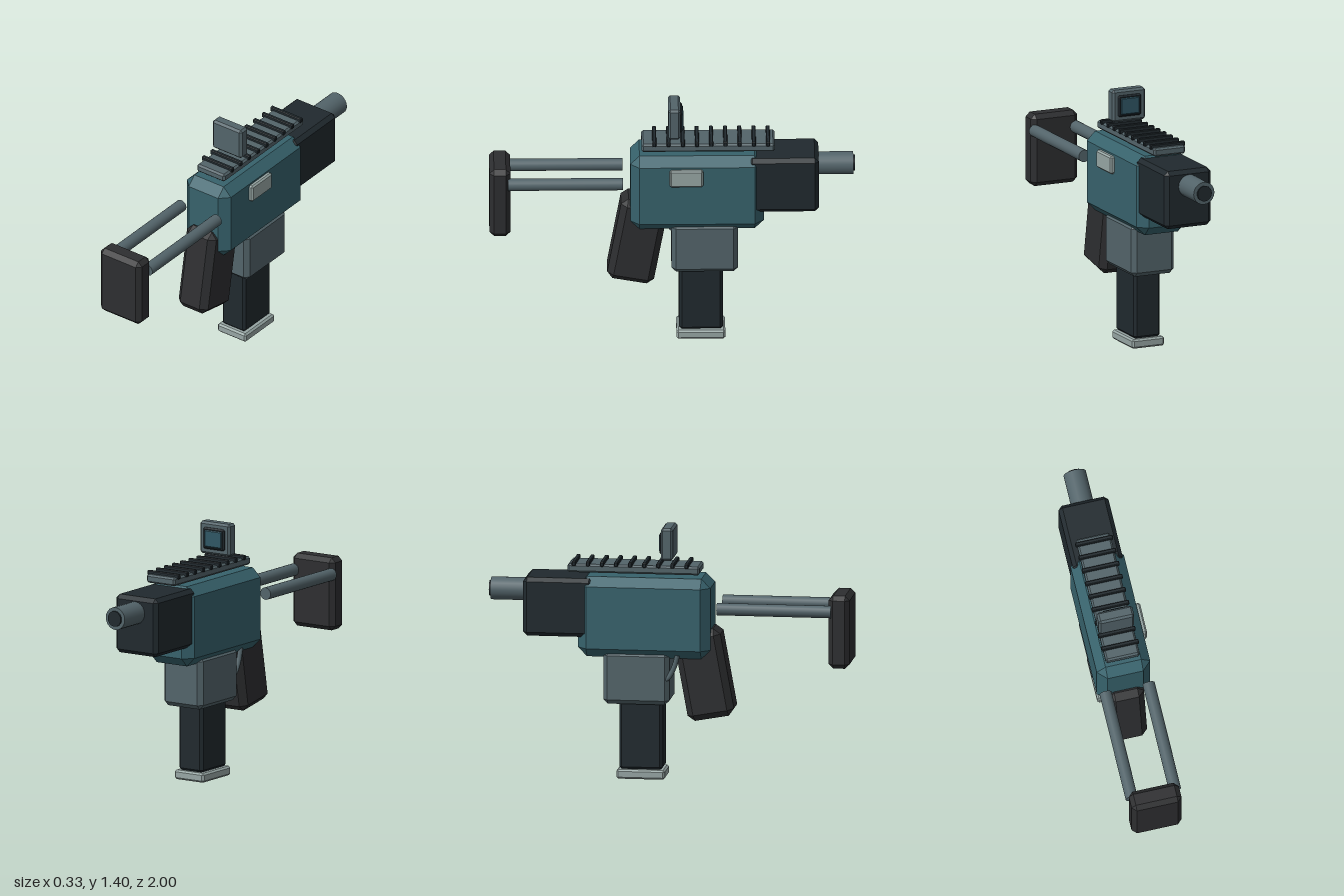
import * as THREE from 'three';
import { ConvexGeometry } from 'three/addons/geometries/ConvexGeometry.js';

const CX = -0.01; // shared centre line of the main parts

const mat = (color, flat = true) => new THREE.MeshStandardMaterial({ color, flatShading: flat });
const teal = mat(0x37626c), charcoal = mat(0x2d2e30), black = mat(0x20292e);
const steel = mat(0x53646a), pale = mat(0x97a6a4), lensBlue = mat(0x2f5664);
const roundSteel = mat(0x53646a, false), roundBlack = mat(0x20292e, false);

// Box with every edge cut by a chamfer c
function chamferBox(w, h, d, c) {
  const pts = [];
  for (const x of [-1, 1]) for (const y of [-1, 1]) for (const z of [-1, 1]) {
    const X = w / 2, Y = h / 2, Z = d / 2;
    pts.push(
      new THREE.Vector3(x * X, y * (Y - c), z * (Z - c)),
      new THREE.Vector3(x * (X - c), y * Y, z * (Z - c)),
      new THREE.Vector3(x * (X - c), y * (Y - c), z * Z));
  }
  return new ConvexGeometry(pts);
}

export function createModel() {
  const group = new THREE.Group();

  const add = (name, geometry, material, x = 0, y = 0, z = 0) => {
    const mesh = new THREE.Mesh(geometry, material);
    mesh.name = name;
    mesh.position.set(x, y, z);
    group.add(mesh);
    return mesh;
  };
  // Chamfered block given by its width and its y and z ranges
  const block = (name, material, w, y0, y1, z0, z1, c, x = CX) =>
    add(name, chamferBox(w, y1 - y0, z1 - z0, c), material, x, (y0 + y1) / 2, (z0 + z1) / 2);
  // Round bar along z
  const rod = (name, material, r, x, y, z0, z1) =>
    add(name, new THREE.CylinderGeometry(r, r, z1 - z0, 20).rotateX(Math.PI / 2),
      material, x, y, (z0 + z1) / 2);

  // Body
  block('receiver', teal, 0.30, 0.68, 1.125, -0.50, 0.23, 0.05);
  block('handguard', black, 0.28, 0.79, 1.115, -0.80, -0.415, 0.022);
  block('sidePort', pale, 0.04, 0.965, 1.065, -0.168, 0.015, 0.009, 0.143);

  // Barrel
  rod('barrel', roundSteel, 0.063, CX, 1.027, -0.99, -0.70);
  rod('bore', roundBlack, 0.043, CX, 1.027, -1.0, -0.96);

  // Grip, leaning back
  const grip = add('grip', chamferBox(0.20, 0.49, 0.26, 0.035), charcoal, CX, 0.586, 0.19);
  grip.rotation.x = -0.18;

  // Thin curved guard beside the grip
  const guardPath = new THREE.CatmullRomCurve3([
    [0.05, 0.70], [0.03, 0.63], [-0.005, 0.57], [-0.06, 0.545],
  ].map(([z, y]) => new THREE.Vector3(-0.12, y, z)));
  add('guard', new THREE.TubeGeometry(guardPath, 12, 0.014, 8), roundSteel);

  // Magazine and its housing
  block('magazineHousing', steel, 0.26, 0.42, 0.715, -0.36, 0.005, 0.025);
  block('magazine', black, 0.16, 0.05, 0.50, -0.277, -0.037, 0.015);
  block('magazineBase', pale, 0.195, 0, 0.052, -0.29, -0.023, 0.01);

  // Stock
  for (const side of [-1, 1]) rod('stockRod', roundSteel, 0.034, CX + side * 0.121, 0.965, 0.27, 0.90);
  block('buttPad', charcoal, 0.28, 0.65, 1.055, 0.885, 1.0, 0.025);

  // Top rail with cross slats
  block('rail', steel, 0.19, 1.143, 1.19, -0.56, 0.168, 0.01);
  for (let i = 0; i < 9; i++) {
    const z = 0.098 - i * 0.0777;
    block('railSlat', black, 0.21, 1.18, 1.207, z - 0.011, z + 0.011, 0.004);
  }

  // Sight with its lens
  block('sight', steel, 0.20, 1.22, 1.40, -0.045, 0.022, 0.012);
  block('lensFrame', black, 0.14, 1.25, 1.37, -0.056, -0.03, 0.008);
  block('lens', lensBlue, 0.115, 1.262, 1.358, -0.061, -0.03, 0.006);

  return group;
}
